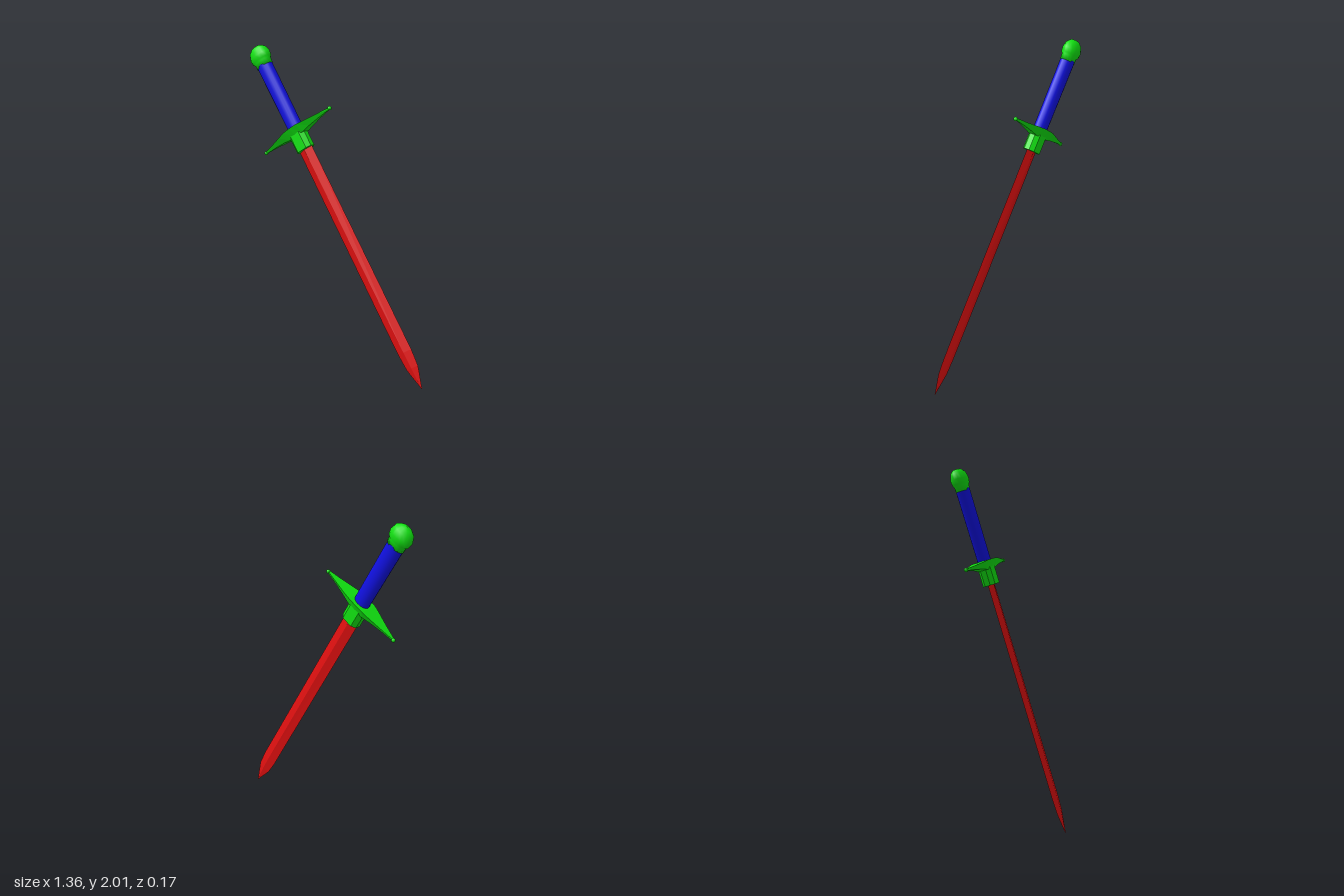
import * as THREE from 'three';

const paint = (name, color) => {
  const m = new THREE.MeshStandardMaterial({ color });
  m.name = name;
  return m;
};

// Faceted skin over rings of points, each counterclockwise seen from the far end
function loft(rings) {
  const pos = [];
  const tri = (...pts) => pts.forEach((p) => pos.push(...p));
  const n = rings[0].length;
  for (let i = 0; i < rings.length - 1; i++) {
    const r = rings[i], s = rings[i + 1];
    for (let j = 0; j < n; j++) {
      const k = (j + 1) % n;
      tri(r[j], r[k], s[k]);
      tri(r[j], s[k], s[j]);
    }
  }
  const a = rings[0], b = rings[rings.length - 1];
  for (let j = 1; j < n - 1; j++) {
    tri(a[0], a[j + 1], a[j]);
    tri(b[0], b[j], b[j + 1]);
  }
  const g = new THREE.BufferGeometry();
  g.setAttribute('position', new THREE.Float32BufferAttribute(pos, 3));
  g.computeVertexNormals();
  return g;
}

export function createModel() {
  const red = paint('bladeRed', 0xe01010);
  const green = paint('fittingGreen', 0x10e010);
  const blue = paint('gripBlue', 0x1010e0);

  const model = new THREE.Group();
  model.name = 'sword';
  const sword = new THREE.Group();
  sword.name = 'tiltedSword';
  model.add(sword);

  const add = (name, geometry, material) => {
    const mesh = new THREE.Mesh(geometry, material);
    mesh.name = name;
    sword.add(mesh);
    return mesh;
  };

  // Blade: diamond section, [height, centre, half width, half thickness]
  const blade = [
    [-1.775, -0.011, 0.001, 0.001],
    [-1.69, -0.008, 0.029, 0.008],
    [-1.635, -0.006, 0.046, 0.012],
    [-1.53, -0.005, 0.054, 0.015],
    [-0.1, 0, 0.054, 0.018],
  ];
  add('blade', loft(blade.map(([y, c, w, t]) => [
    [c, y, t], [c + w, y, 0], [c, y, -t], [c - w, y, 0],
  ])), red);

  // Collar: flat front and back with bevelled corners
  const collar = [
    [-0.036, 0.042], [0.036, 0.042], [0.061, 0.018], [0.061, -0.018],
    [0.036, -0.042], [-0.036, -0.042], [-0.061, -0.018], [-0.061, 0.018],
  ];
  add('collar', loft([-0.13, 0].map((y) => collar.map(([x, z]) => [x, y, z]))), green);

  // Crossguard: flat top, bevelled belly, [distance, half depth, top, bottom]
  const half = [
    [0, 0.067, 0.026, -0.036],
    [0.06, 0.064, 0.025, -0.031],
    [0.12, 0.051, 0.019, -0.021],
    [0.2, 0.03, 0.012, -0.012],
    [0.295, 0.008, 0.006, -0.006],
  ];
  const mirrored = half.slice(1).reverse().map(([x, ...rest]) => [-x, ...rest]);
  add('crossguard', loft([...mirrored, ...half].map(([x, d, t, b]) => [
    [x, t, -d], [x, t, d], [x, b, d * 0.5], [x, b, -d * 0.5],
  ])), green);
  for (const side of [-1, 1]) {
    add(side > 0 ? 'leftGuardBead' : 'rightGuardBead',
      new THREE.SphereGeometry(0.013, 10, 8), green).position.x = side * 0.297;
  }

  // Grip: oval cylinder
  const grip = add('grip', new THREE.CylinderGeometry(0.056, 0.053, 0.475, 16), blue);
  grip.position.y = 0.2525;
  grip.scale.z = 0.75;

  // Pommel: oval knob with a short neck
  const profile = [
    [0, 0.472], [0.06, 0.472], [0.062, 0.506], [0.073, 0.518],
    [0.078, 0.548], [0.065, 0.586], [0.038, 0.608], [0, 0.616],
  ].map(([r, y]) => new THREE.Vector2(r, y));
  add('pommel', new THREE.LatheGeometry(profile, 16), green).scale.z = 0.69;

  // Lean the whole sword so the tip rests on the ground
  const up = new THREE.Vector3(-0.555, 0.83, -0.05).normalize();
  const front = new THREE.Vector3(0.831, 0.556, 0).cross(up).normalize();
  const across = up.clone().cross(front);
  sword.quaternion.setFromRotationMatrix(new THREE.Matrix4().makeBasis(across, up, front));
  sword.position.set(-0.3, 1.478, 0);
  return model;
}
